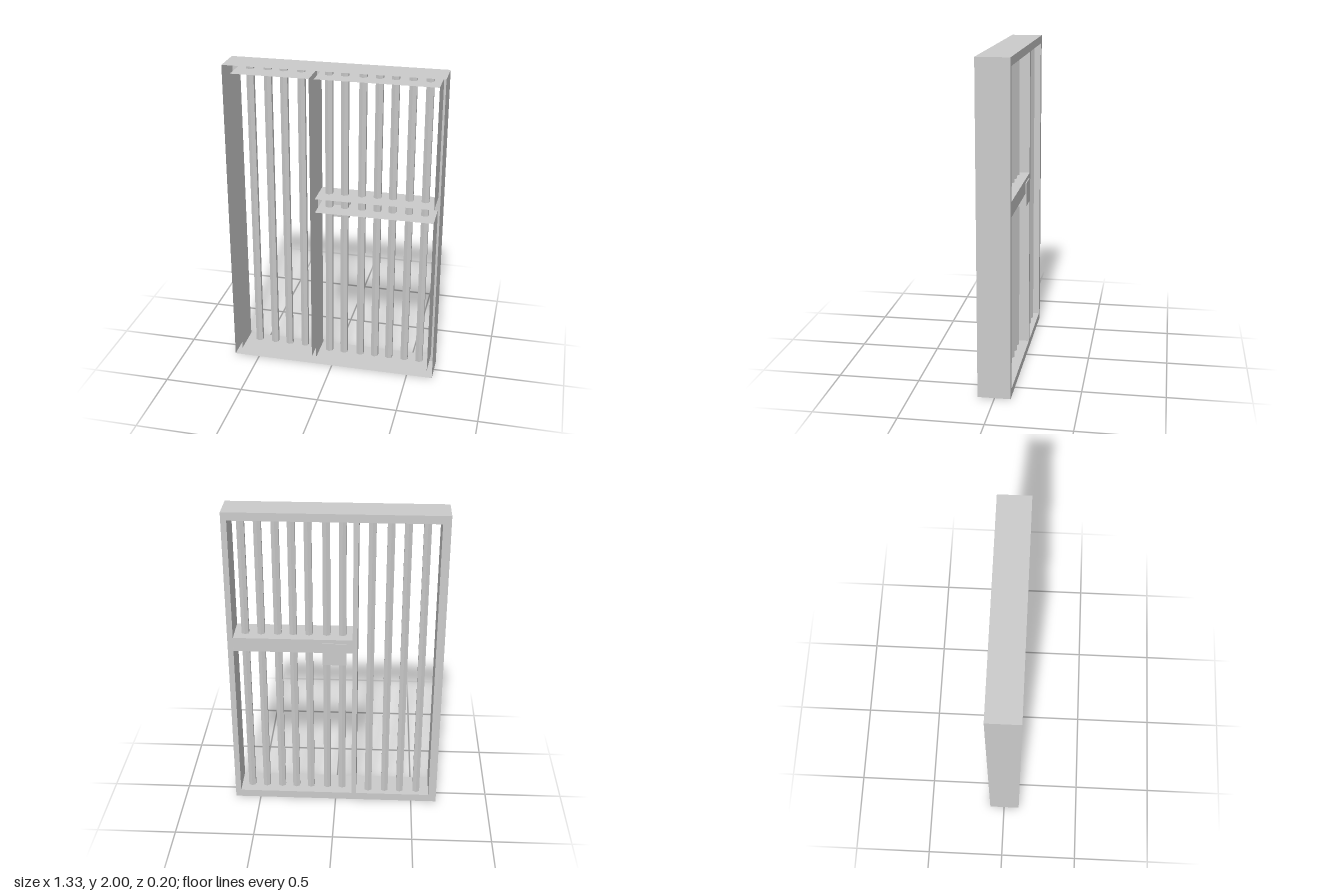
import * as THREE from 'three';
import { mergeGeometries } from 'three/addons/utils/BufferGeometryUtils.js';

const FRONT = 0.102, BACK = -0.096;

// Rectangles as [x0, x1, y0, y1]
const OUTLINE = [-0.665, 0.665, 0, 2];
const OPENINGS = [
  [-0.615, -0.135, 0.05, 1.95], // fixed side
  [-0.105, 0.63, 1.19, 1.95],   // door, above the crossbar
  [-0.105, 0.63, 0.05, 1.1],    // door, below the crossbar
];

export function createModel() {
  const group = new THREE.Group();
  const material = new THREE.MeshStandardMaterial({
    color: 0xcccccc, flatShading: true, side: THREE.DoubleSide,
  });

  const add = (name, geometry, x = 0, y = 0, z = 0) => {
    const mesh = new THREE.Mesh(geometry, material);
    mesh.name = name;
    mesh.position.set(x, y, z);
    group.add(mesh);
  };

  const trace = (path, [x0, x1, y0, y1]) => {
    path.moveTo(x0, y0);
    path.lineTo(x1, y0);
    path.lineTo(x1, y1);
    path.lineTo(x0, y1);
    path.closePath();
    return path;
  };

  // Four thin walls around a rectangle, running from back to front
  const walls = ([x0, x1, y0, y1]) => {
    const depth = FRONT - BACK, z = (FRONT + BACK) / 2;
    const side = (x, turn) => new THREE.PlaneGeometry(depth, y1 - y0)
      .rotateY(turn).translate(x, (y0 + y1) / 2, z);
    const level = (y, turn) => new THREE.PlaneGeometry(x1 - x0, depth)
      .rotateX(turn).translate((x0 + x1) / 2, y, z);
    const q = Math.PI / 2;
    return mergeGeometries([side(x0, -q), side(x1, q), level(y0, q), level(y1, -q)]);
  };

  // Back plate with its openings; the frame is hollow and open to the front
  const plate = trace(new THREE.Shape(), OUTLINE);
  OPENINGS.forEach((o) => plate.holes.push(trace(new THREE.Path(), o)));
  add('framePlate', new THREE.ShapeGeometry(plate).rotateY(Math.PI).scale(-1, 1, 1), 0, 0, BACK);
  add('frameOuterWalls', walls(OUTLINE));
  OPENINGS.forEach((o) => add('openingWalls', walls(o)));

  // Six-sided bars
  const bars = (name, xs, bottom, top, z) => xs.forEach((x) => add(
    name, new THREE.CylinderGeometry(0.026, 0.026, top - bottom, 6), x, (bottom + top) / 2, z));
  bars('fixedBar', [-0.533, -0.423, -0.323, -0.215], 0.04, 1.99, -0.04);
  bars('doorBar', [-0.04, 0.058, 0.167, 0.265, 0.36, 0.463, 0.562], 0.04, 1.998, -0.015);

  // Lock box on the back of the crossbar
  add('lockBox', new THREE.BoxGeometry(0.148, 0.147, 0.06), 0.007, 1.092, -0.072);

  return group;
}
